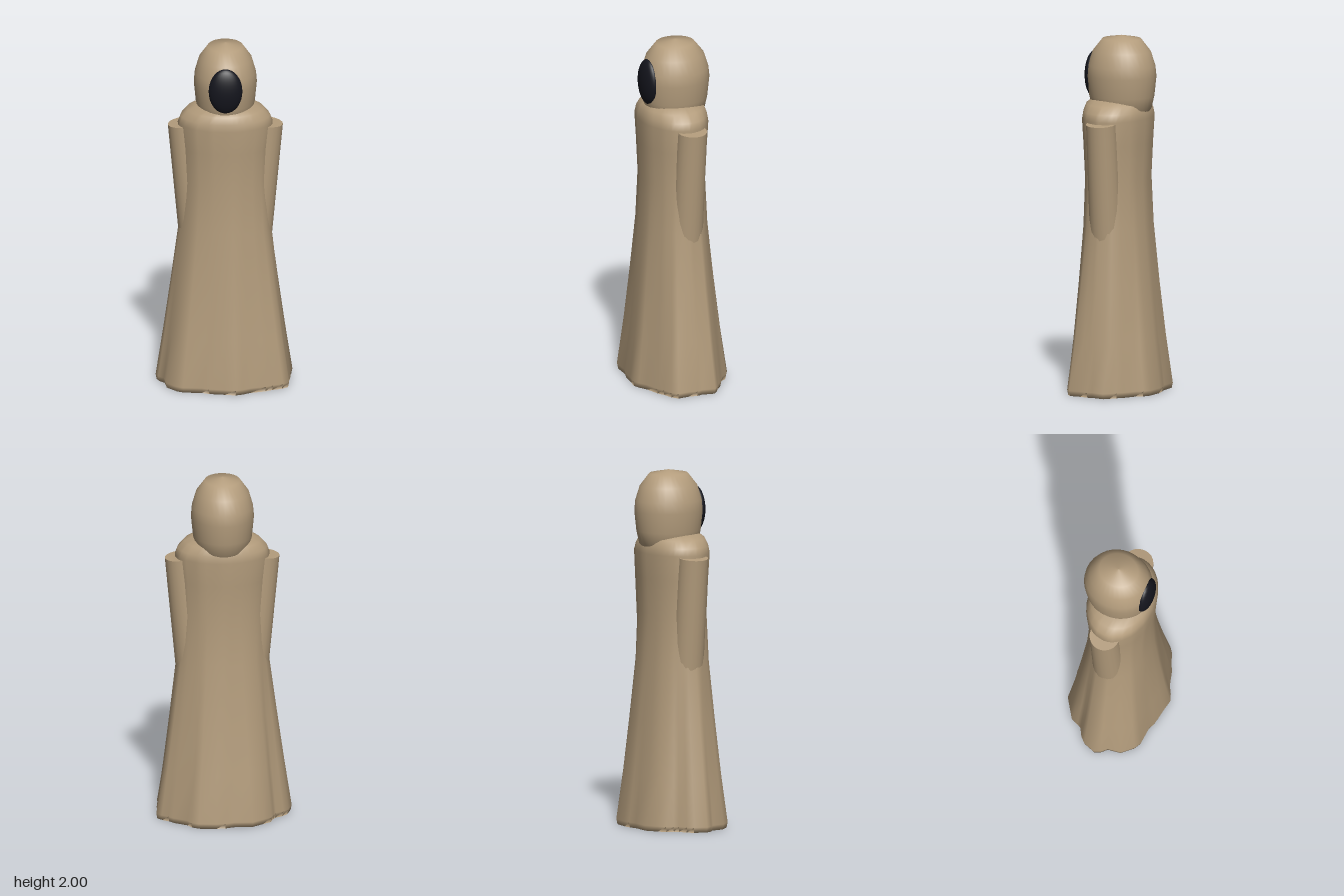
import * as THREE from 'three';

const cloth = new THREE.MeshStandardMaterial({ color: 0xb39c7c, side: THREE.DoubleSide });
const dark = new THREE.MeshStandardMaterial({ color: 0x14151d });

// Wavy hem outline as x, z pairs: left, back, right, front
const HEM = [
  -0.385, 0, -0.36, -0.07, -0.33, -0.1, -0.285, -0.125, -0.27, -0.15, -0.255, -0.19,
  -0.21, -0.22, -0.145, -0.262, -0.04, -0.258, 0.01, -0.273, 0.06, -0.277, 0.16, -0.265,
  0.2, -0.24, 0.22, -0.205, 0.295, -0.158, 0.32, -0.13, 0.355, -0.105, 0.383, -0.075,
  0.365, 0, 0.372, 0.03, 0.36, 0.08, 0.36, 0.145, 0.325, 0.172, 0.27, 0.19,
  0.23, 0.212, 0.145, 0.235, 0.1, 0.26, 0.06, 0.274, 0, 0.262, -0.09, 0.248,
  -0.13, 0.23, -0.235, 0.222, -0.275, 0.2, -0.33, 0.14, -0.34, 0.065, -0.37, 0.035,
];

// Robe rings: height, half width, half depth, how strongly the hem folds show
const RINGS = [
  [0.07, 0.002, 0.002, 0], [0.06, 0.33, 0.23, 1], [0, 0.362, 0.258, 1], [0.03, 0.368, 0.264, 1],
  [0.3, 0.332, 0.233, 0.8], [0.6, 0.295, 0.206, 0.55], [0.93, 0.257, 0.18, 0.2],
  [1.2, 0.244, 0.17, 0], [1.4, 0.252, 0.18, 0], [1.54, 0.265, 0.187, 0],
  [1.58, 0.25, 0.182, 0], [1.62, 0.214, 0.17, 0], [1.645, 0.16, 0.14, 0], [1.65, 0.002, 0.002, 0],
];

function robeGeometry() {
  const n = HEM.length / 2;
  const pos = [], index = [];
  RINGS.forEach(([y, rx, rz, fold], i) => {
    for (let j = 0; j < n; j++) {
      const u = HEM[2 * j] / 0.37, v = HEM[2 * j + 1] / 0.265;
      const len = Math.hypot(u, v);
      const k = (1 + fold * (len - 1)) / len;
      const shift = 0.005 * (1 - fold);
      pos.push(u * k * rx + shift, y, v * k * rz + shift);
      if (i < RINGS.length - 1) {
        const a = i * n + j, b = i * n + (j + 1) % n;
        index.push(a, a + n, b, b, a + n, b + n);
      }
    }
  });
  const g = new THREE.BufferGeometry();
  g.setAttribute('position', new THREE.Float32BufferAttribute(pos, 3));
  g.setIndex(index);
  g.computeVertexNormals();
  return g;
}

export function createModel() {
  const group = new THREE.Group();
  const add = (name, geometry, material) => {
    const mesh = new THREE.Mesh(geometry, material);
    mesh.name = name;
    group.add(mesh);
    return mesh;
  };

  add('robe', robeGeometry(), cloth);

  // Hood: oval lathe sunk into the shoulders
  const profile = [
    [0, 1.5], [0.6, 1.52], [0.86, 1.59], [0.94, 1.66], [1, 1.77],
    [0.97, 1.83], [0.84, 1.91], [0.56, 1.98], [0, 2],
  ].map(([r, y]) => new THREE.Vector2(r, y));
  const hood = add('hood', new THREE.LatheGeometry(profile, 32), cloth);
  hood.scale.set(0.176, 1, 0.197);
  hood.position.set(0.006, 0, -0.017);

  // Dark face in the hood opening
  const face = add('face', new THREE.SphereGeometry(1, 28, 18), dark);
  face.scale.set(0.094, 0.132, 0.045);
  face.position.set(0.004, 1.77, 0.15);

  // Sleeves lean in and disappear into the robe
  for (const side of [-1, 1]) {
    const sleeve = add(side > 0 ? 'leftSleeve' : 'rightSleeve',
      new THREE.CylinderGeometry(0.085, 0.094, 0.75, 20), cloth);
    sleeve.position.set(0.006 + side * 0.197, 1.157, 0);
    sleeve.rotation.z = -side * 0.105;
  }
  return group;
}
